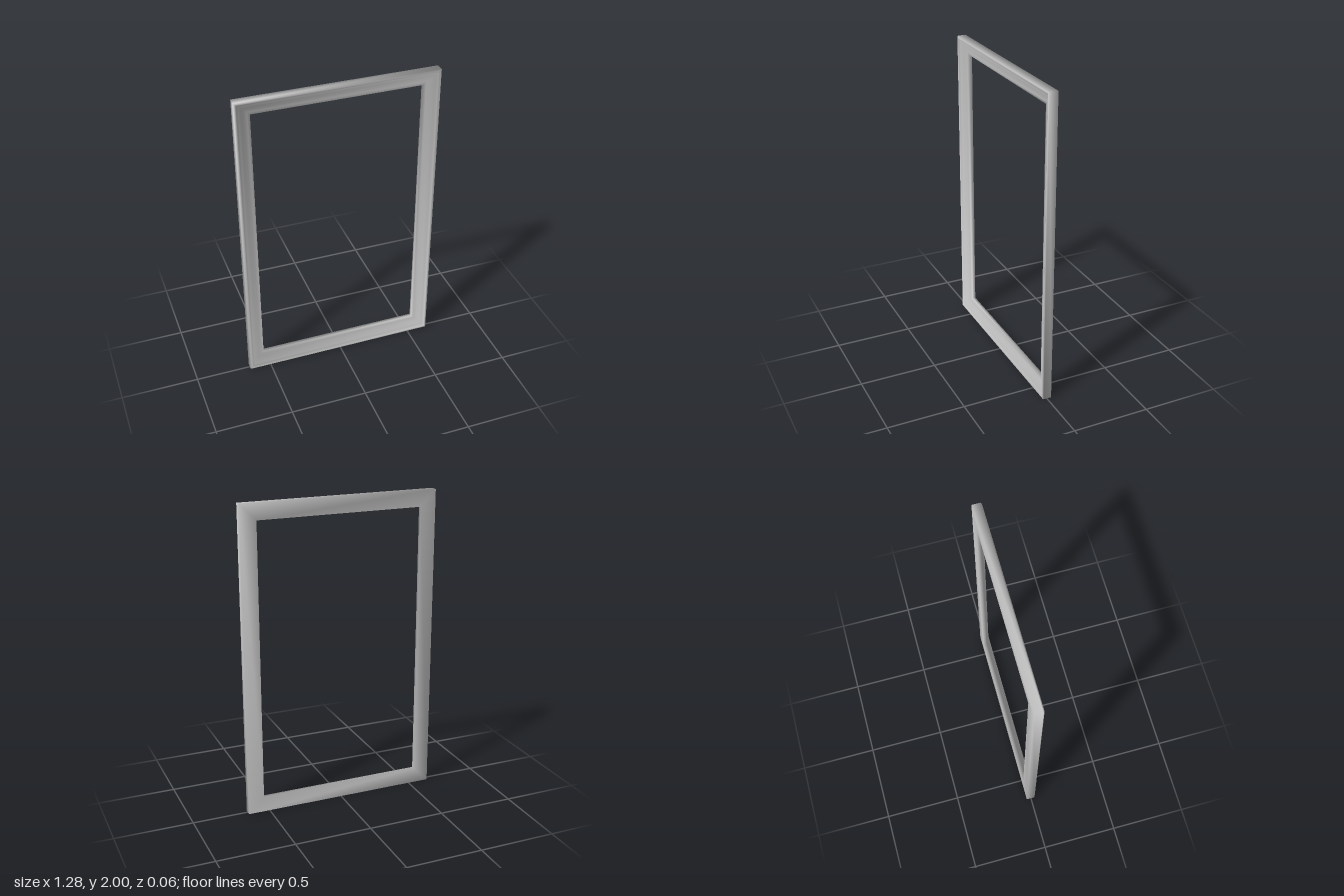
import * as THREE from 'three';

const HALF_W = 0.64, HALF_H = 1;

// Moulding cross-section: [distance in from the outer edge, z]
const PROFILE = [
  [0, -0.03], [0, 0.022], [0.004, 0.028], [0.01, 0.03], [0.016, 0.028],
  [0.02, 0.022], [0.03, 0.019], [0.045, 0.012], [0.065, 0.002],
  [0.085, -0.005], [0.103, -0.008], [0.103, -0.03],
];

// Sweeps the closed cross-section round a rectangle with mitred corners
function mitredFrame(profile, halfW, halfH) {
  const corners = [[1, 1], [-1, 1], [-1, -1], [1, -1]];
  const n = profile.length;
  const positions = [], index = [];
  for (const [sx, sy] of corners) {
    for (const [inset, z] of profile) {
      positions.push(sx * (halfW - inset), sy * (halfH - inset), z);
    }
  }
  for (let c = 0; c < 4; c++) {
    for (let i = 0; i < n; i++) {
      const j = (i + 1) % n;
      const a = c * n + i, b = c * n + j;
      const d = ((c + 1) % 4) * n + i, e = ((c + 1) % 4) * n + j;
      index.push(a, e, b, a, d, e);
    }
  }
  const geometry = new THREE.BufferGeometry();
  geometry.setAttribute('position', new THREE.Float32BufferAttribute(positions, 3));
  geometry.setIndex(index);
  // Shared vertices give soft shading across the edges and mitres
  geometry.computeVertexNormals();
  return geometry;
}

export function createModel() {
  const group = new THREE.Group();
  group.name = 'pictureFrame';
  const material = new THREE.MeshStandardMaterial({ color: 0xcccccc, side: THREE.DoubleSide });
  const frame = new THREE.Mesh(mitredFrame(PROFILE, HALF_W, HALF_H), material);
  frame.name = 'frameMoulding';
  frame.position.y = HALF_H;
  group.add(frame);
  return group;
}
